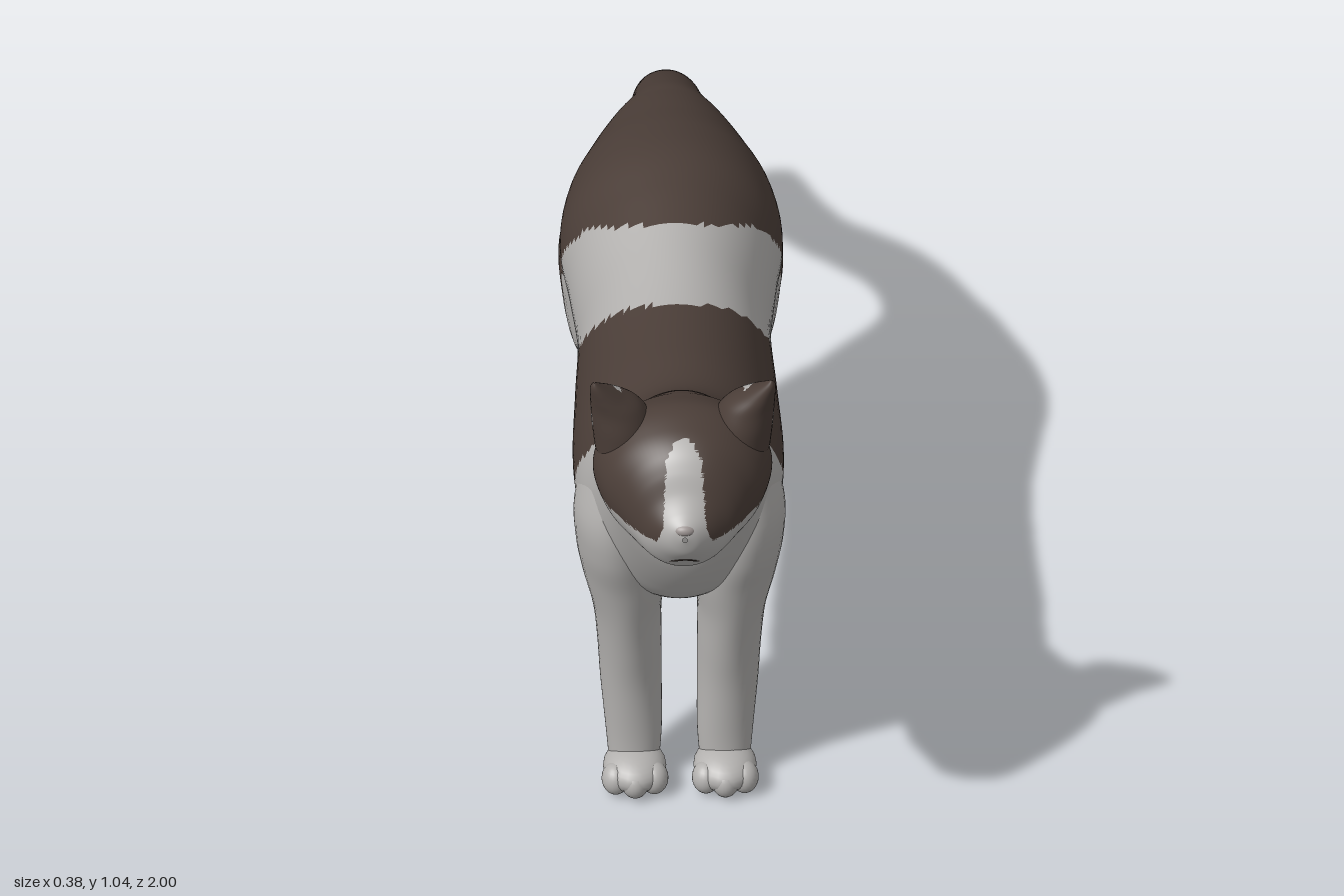
import * as THREE from 'three';

const white = new THREE.MeshStandardMaterial({ color: 0xb3b1af });
white.name = 'white fur';
const brown = new THREE.MeshStandardMaterial({ color: 0x4b3e38 });
brown.name = 'brown fur';
const dark = new THREE.MeshStandardMaterial({ color: 0x2f2521 });
dark.name = 'dark line';
const noseGrey = new THREE.MeshStandardMaterial({ color: 0x9b9391 });
noseGrey.name = 'nose grey';

// Piecewise linear lookup in [[key, value], ...]
function lookup(table, t) {
  if (t <= table[0][0]) return table[0][1];
  for (let i = 1; i < table.length; i++) {
    const [k0, v0] = table[i - 1], [k1, v1] = table[i];
    if (t <= k1) return v0 + (v1 - v0) * (t - k0) / (k1 - k0);
  }
  return table[table.length - 1][1];
}

function spline(a, b, c, d, t) {
  return b + 0.5 * t * (c - a + t * (2 * a - 5 * b + 4 * c - d + t * (3 * (b - c) + d - a)));
}

// Elliptic rings [along, u0, u1, v0, v1], smoothed between rows; each triangle is coloured by a rule
function loft(rows, steps, sides, place, isBrown) {
  const pos = [], n = rows.length - 1;
  const rings = n * steps + 1;
  for (let r = 0; r < rings; r++) {
    const i = Math.min(Math.floor(r / steps), n - 1), t = r / steps - i;
    const q = [rows[Math.max(i - 1, 0)], rows[i], rows[i + 1], rows[Math.min(i + 2, n)]];
    const [s, u0, u1, v0, v1] = rows[0].map((_, k) => spline(q[0][k], q[1][k], q[2][k], q[3][k], t));
    for (let j = 0; j < sides; j++) {
      const a = j / sides * Math.PI * 2;
      pos.push(...place((u0 + u1) / 2 + Math.cos(a) * (u1 - u0) / 2, (v0 + v1) / 2 + Math.sin(a) * (v1 - v0) / 2, s));
    }
  }
  const faces = [[], []];
  const mid = (f, k) => (pos[f[0] * 3 + k] + pos[f[1] * 3 + k] + pos[f[2] * 3 + k]) / 3;
  for (let r = 0; r < rings - 1; r++) for (let j = 0; j < sides; j++) {
    const a = r * sides + j, b = r * sides + (j + 1) % sides;
    for (const f of [[a, a + sides, b], [b, a + sides, b + sides]]) {
      faces[isBrown(Math.abs(mid(f, 0)), mid(f, 1), mid(f, 2)) ? 1 : 0].push(...f);
    }
  }
  const g = new THREE.BufferGeometry();
  g.setAttribute('position', new THREE.Float32BufferAttribute(pos, 3));
  g.setIndex(faces[0].concat(faces[1]));
  g.addGroup(0, faces[0].length, 0);
  g.addGroup(faces[0].length, faces[1].length, 1);
  g.computeVertexNormals();
  return new THREE.Mesh(g, [white, brown]);
}

// Fur pattern: white bib, face blaze, saddle band, belly patch and legs
const bib = [[0.33, 0.36], [0.335, 0.44], [0.4, 0.48], [0.51, 0.58], [0.57, 0.68], [0.615, 0.77],
  [0.735, 0.8], [0.8, 0.825], [0.88, 0.805], [1, 0.8]];
const blaze = [[0.8, 0.048], [0.83, 0.037], [0.93, 0.03], [0.95, 0.015], [0.955, 0]];
const bandFront = [[0.4, -0.02], [0.475, 0.01], [0.52, 0.09], [0.58, 0.17], [0.705, 0.25], [0.8, 0.3], [0.825, 0.34]];
const bandBack = [[0.4, -0.42], [0.449, -0.33], [0.45, -0.155], [0.49, -0.12], [0.625, -0.07], [0.75, 0.01], [0.83, 0.11]];
function furIsBrown(x, y, z) {
  if (z > 0.325 && y < lookup(bib, z)) return false;
  if (z > 0.87 && x < lookup(blaze, y)) return false;
  if (z < lookup(bandFront, y) && z > lookup(bandBack, y)) return false;
  if (y < 0.425 && z > -0.05 && z < 0.18) return false;
  return true;
}

// Head, trunk and tail: [z, bottom, top, half width]
const trunk = [
  [1, 0.815, 0.825, 0.004], [0.993, 0.785, 0.842, 0.025], [0.975, 0.758, 0.857, 0.05], [0.955, 0.732, 0.88, 0.072],
  [0.935, 0.724, 0.915, 0.092], [0.91, 0.72, 0.942, 0.112], [0.87, 0.715, 0.96, 0.138], [0.81, 0.715, 0.968, 0.153],
  [0.755, 0.705, 0.948, 0.142], [0.735, 0.63, 0.938, 0.13], [0.715, 0.55, 0.927, 0.127], [0.68, 0.48, 0.902, 0.136],
  [0.64, 0.43, 0.87, 0.148], [0.57, 0.39, 0.835, 0.172], [0.46, 0.375, 0.824, 0.18], [0.3, 0.38, 0.813, 0.173],
  [0.14, 0.395, 0.818, 0.165], [0, 0.415, 0.832, 0.178], [-0.1, 0.43, 0.835, 0.19], [-0.2, 0.44, 0.816, 0.178],
  [-0.28, 0.465, 0.792, 0.15], [-0.325, 0.53, 0.778, 0.123], [-0.36, 0.605, 0.766, 0.095], [-0.41, 0.622, 0.748, 0.068],
  [-0.5, 0.588, 0.7, 0.057], [-0.6, 0.505, 0.63, 0.053], [-0.7, 0.41, 0.535, 0.05], [-0.79, 0.335, 0.443, 0.048],
  [-0.9, 0.28, 0.37, 0.046], [-0.965, 0.25, 0.337, 0.043], [-0.99, 0.262, 0.322, 0.032], [-1, 0.285, 0.3, 0.006]];

// Left-side limbs and ear, bottom to top: [y, x0, x1, z0, z1]
const frontLeg = [
  [0.03, 0.035, 0.12, 0.525, 0.6], [0.1, 0.03, 0.126, 0.513, 0.597], [0.2, 0.03, 0.135, 0.485, 0.602],
  [0.28, 0.03, 0.14, 0.467, 0.615], [0.36, 0.03, 0.148, 0.455, 0.632], [0.44, 0.02, 0.166, 0.445, 0.652],
  [0.52, 0.03, 0.178, 0.45, 0.675], [0.6, 0.04, 0.178, 0.46, 0.68], [0.7, 0.06, 0.145, 0.48, 0.66]];
const hindLeg = [
  [0.03, 0.055, 0.12, -0.365, -0.265], [0.1, 0.05, 0.122, -0.385, -0.263], [0.18, 0.048, 0.126, -0.4, -0.288],
  [0.24, 0.047, 0.13, -0.402, -0.272], [0.29, 0.043, 0.136, -0.388, -0.185], [0.33, 0.038, 0.148, -0.335, -0.12],
  [0.38, 0.033, 0.16, -0.305, -0.06], [0.44, 0.033, 0.175, -0.298, -0.005], [0.51, 0.03, 0.186, -0.305, 0.01],
  [0.6, 0.04, 0.19, -0.3, 0.01], [0.72, 0.06, 0.158, -0.25, -0.02]];
const ear = [
  [0.88, 0.05, 0.15, 0.735, 0.86], [0.93, 0.052, 0.155, 0.74, 0.862], [0.97, 0.07, 0.157, 0.765, 0.857],
  [1, 0.103, 0.158, 0.792, 0.855], [1.03, 0.136, 0.158, 0.828, 0.853], [1.044, 0.15, 0.152, 0.845, 0.848]];

export function createModel() {
  const cat = new THREE.Group();
  const add = (mesh, name) => { mesh.name = name; cat.add(mesh); return mesh; };
  const ball = (name, material, p, r) => {
    const m = add(new THREE.Mesh(new THREE.SphereGeometry(1, 24, 16), material), name);
    m.position.set(...p);
    m.scale.set(...r);
    return m;
  };

  add(loft(trunk.map(([z, b, t, w]) => [z, -w, w, b, t]), 10, 80, (u, v, s) => [u, v, s], furIsBrown), 'headBodyAndTail');

  for (const s of [1, -1]) {
    const side = s > 0 ? 'left' : 'right';
    const upright = (rows, steps, rule) => loft(
      rows.map(([y, x0, x1, z0, z1]) => [y, s > 0 ? x0 : -x1, s > 0 ? x1 : -x0, z0, z1]),
      steps, 40, (u, v, y) => [u, y, v], rule);

    add(upright(frontLeg, 6, () => false), side + 'FrontLeg');
    add(upright(hindLeg, 8, furIsBrown), side + 'HindLeg');
    // Ears have a pale patch on the outer rear face
    add(upright(ear, 8, (x, y, z) => !(x > 0.105 && z < 0.818 && y > 0.93 && y < 1.008)), side + 'Ear');

    // Paws with three toes each
    for (const [name, x, z] of [['FrontPaw', 0.077, 0.588], ['HindPaw', 0.086, -0.29]]) {
      ball(side + name, white, [s * x, 0.038, z], [0.054, 0.036, 0.066]);
      for (const t of [-1, 0, 1]) {
        ball(side + name + 'Toe', white, [s * x + t * 0.033, 0.032, z + 0.04 - Math.abs(t) * 0.012], [0.024, 0.029, 0.028]);
      }
    }

    // Narrow closed eye
    const eye = ball(side + 'Eye', dark, [s * 0.057, 0.868, 0.931], [0.024, 0.006, 0.008]);
    eye.rotation.set(0, s * 0.6, s * 0.1);
  }

  // Nose and mouth line
  ball('nose', noseGrey, [0, 0.833, 0.988], [0.018, 0.011, 0.012]);
  const lip = new THREE.CatmullRomCurve3([[-0.05, 0.747, 0.943], [-0.025, 0.752, 0.963], [0, 0.764, 0.977],
    [0.025, 0.752, 0.963], [0.05, 0.747, 0.943]].map(p => new THREE.Vector3(...p)));
  add(new THREE.Mesh(new THREE.TubeGeometry(lip, 24, 0.0035, 8), dark), 'mouth');
  return cat;
}
